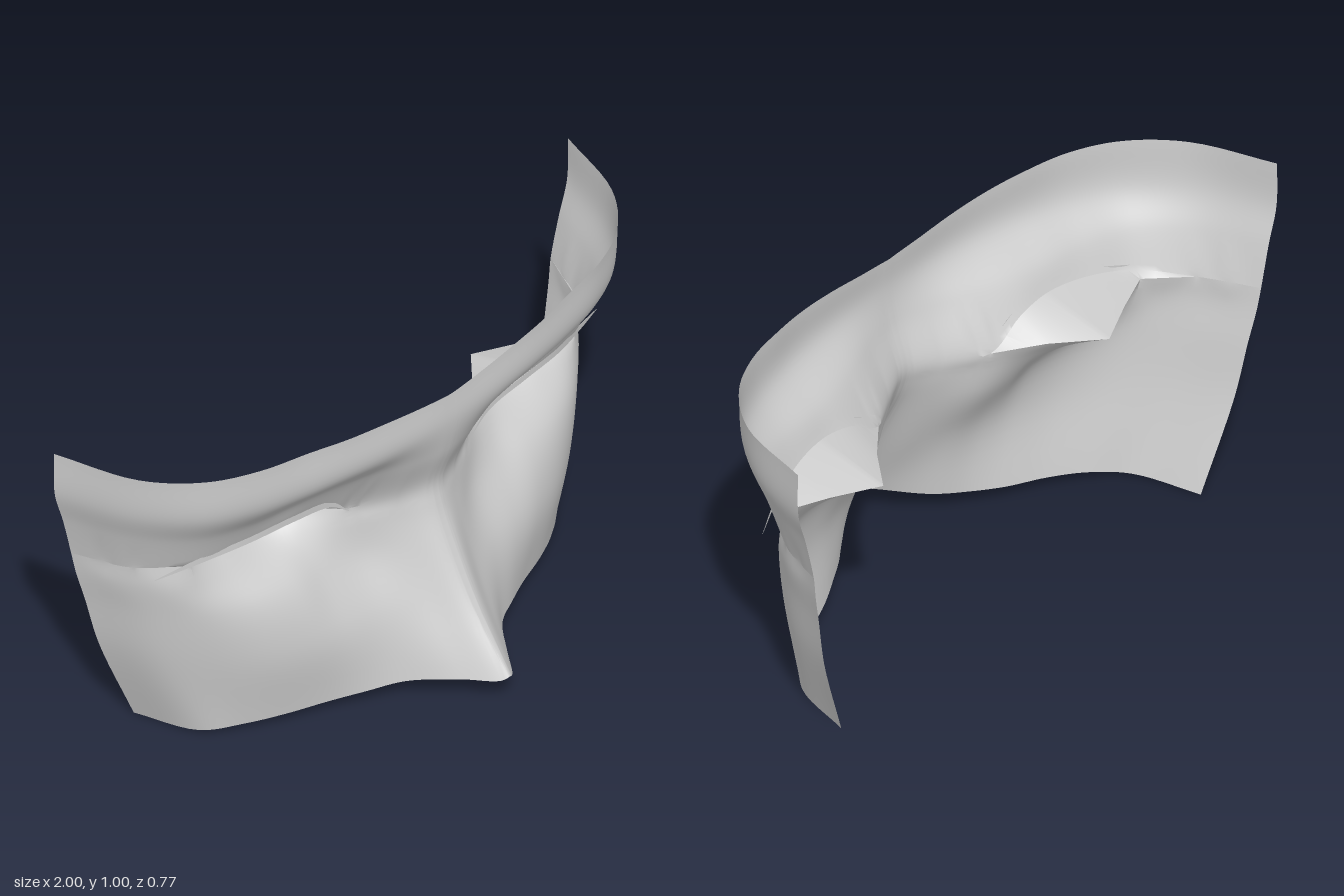
import * as THREE from 'three';
import { toCreasedNormals } from 'three/addons/utils/BufferGeometryUtils.js';

// Stations from the nose ridge (0) to the side edge (1)
const stations = [0, .03, .12, .25, .38, .505, .66, .8, .92, 1];
const level = (y) => stations.map(() => y);

// Cross-sections from the bottom edge up: half width, heights and depths per station
const lowerRows = [
  { w: .75, y: [.1, .09, .085, .07, .055, .045, .038, .028, .012, 0], // bottom edge
    z: [.385, .372, .285, .17, .11, .06, .01, -.05, -.13, -.325] },
  { w: .855, y: level(.28), // cheek
    z: [.25, .24, .17, .11, .085, .065, .02, -.06, -.18, -.355] },
  { w: .895, y: level(.45), // upper cheek
    z: [.155, .15, .095, .025, .003, .01, -.012, -.07, -.195, -.37] },
  { w: .92, y: level(.55), // hollow below the eye
    z: [.112, .107, .065, 0, -.06, -.1, -.09, -.095, -.205, -.38] },
  { w: .933, y: [.62, .615, .605, .595, .61, .622, .625, .622, .62, .62], // back of the socket
    z: [.1, .095, .06, -.01, -.11, -.235, -.165, -.108, -.215, -.385], straight: true },
];
const upperRows = [
  { w: .933, y: [.62, .615, .605, .595, .66, .68, .67, .645, .62, .62], // upper lid edge
    z: [.1, .095, .06, -.01, -.014, -.015, -.04, -.092, -.215, -.385] },
  { w: .965, y: level(.75), // under the brow
    z: [.14, .138, .118, .072, .036, .017, -.005, -.058, -.185, -.385] },
  { w: .997, y: level(.86), // brow
    z: [.16, .16, .157, .147, .13, .107, .065, -.008, -.155, -.385] },
  { w: 1, y: [.955, .957, .965, .98, .992, 1.002, 1.005, 1.003, 1, 1], // top edge
    z: [.156, .156, .153, .147, .135, .112, .076, .004, -.135, -.385] },
];

const COLS = 18 * 6;
const STEPS = 24;

// Mirrored line across the face, sampled into columns
function sampleRow({ w, y, z, straight }) {
  const half = stations.map((t, i) => new THREE.Vector3(t * w, y[i], z[i]));
  const mirrored = half.slice(1).reverse().map((p) => new THREE.Vector3(-p.x, p.y, p.z));
  const curve = new THREE.CatmullRomCurve3([...mirrored, ...half],
    false, straight ? 'catmullrom' : 'centripetal', 0);
  return Array.from({ length: COLS + 1 }, (_, i) => curve.getPoint(i / COLS));
}

// One vertical column of points: a single curve where the lids meet, two where they part
function sampleColumn(below, above) {
  const total = below.length + above.length - 2;
  const closed = below[below.length - 1].distanceTo(above[0]) < .012;
  const whole = new THREE.CatmullRomCurve3([...below, ...above.slice(1)]);
  const part = (points, start) => {
    const own = new THREE.CatmullRomCurve3(points);
    const span = points.length - 1;
    return Array.from({ length: STEPS + 1 }, (_, s) => (closed
      ? whole.getPoint((start + span * s / STEPS) / total)
      : own.getPoint(s / STEPS)));
  };
  return [...part(below, 0), ...part(above, below.length - 1)];
}

// Surface over equally long columns, skipping collapsed faces
function skin(columns) {
  const points = columns.flat();
  const stride = columns[0].length;
  const index = [];
  const addFace = (a, b, c) => {
    const area = new THREE.Triangle(points[a], points[b], points[c]).getArea();
    if (area > 1e-9) index.push(a, b, c);
  };
  for (let c = 0; c < columns.length - 1; c++) {
    for (let s = 0; s < stride - 1; s++) {
      const a = c * stride + s, b = a + stride;
      addFace(a, b, b + 1);
      addFace(a, b + 1, a + 1);
    }
  }
  const geometry = new THREE.BufferGeometry().setFromPoints(points);
  geometry.setIndex(index);
  return toCreasedNormals(geometry, .55);
}

export function createModel() {
  const group = new THREE.Group();
  group.name = 'upperFace';
  const material = new THREE.MeshStandardMaterial({ color: 0xcccccc, side: THREE.DoubleSide });
  const add = (name, columns) => {
    const mesh = new THREE.Mesh(skin(columns), material);
    mesh.name = name;
    group.add(mesh);
  };

  // Brow, nose, cheeks and the folded eye sockets
  const lower = lowerRows.map(sampleRow);
  const upper = upperRows.map(sampleRow);
  add('faceMask', lower[0].map((_, c) =>
    sampleColumn(lower.map((r) => r[c]), upper.map((r) => r[c]))));

  // Thin lid rims tapering to a point at the outer corners: x, y, z, height
  const rim = [[.235, .592, 0, 0], [.31, .645, -.002, .018], [.45, .672, -.002, .02],
    [.6, .668, -.025, .02], [.75, .64, -.085, .018], [.86, .618, -.135, .003]];
  for (const side of [1, -1]) {
    const edge = (lift) => new THREE.CatmullRomCurve3(
      rim.map(([x, y, z, h]) => new THREE.Vector3(side * x, y + lift * h, z))).getPoints(30);
    const top = edge(1);
    const columns = edge(0).map((p, i) => [p, top[i]]);
    add(side > 0 ? 'leftLidRim' : 'rightLidRim', side > 0 ? columns : columns.reverse());
  }
  return group;
}
